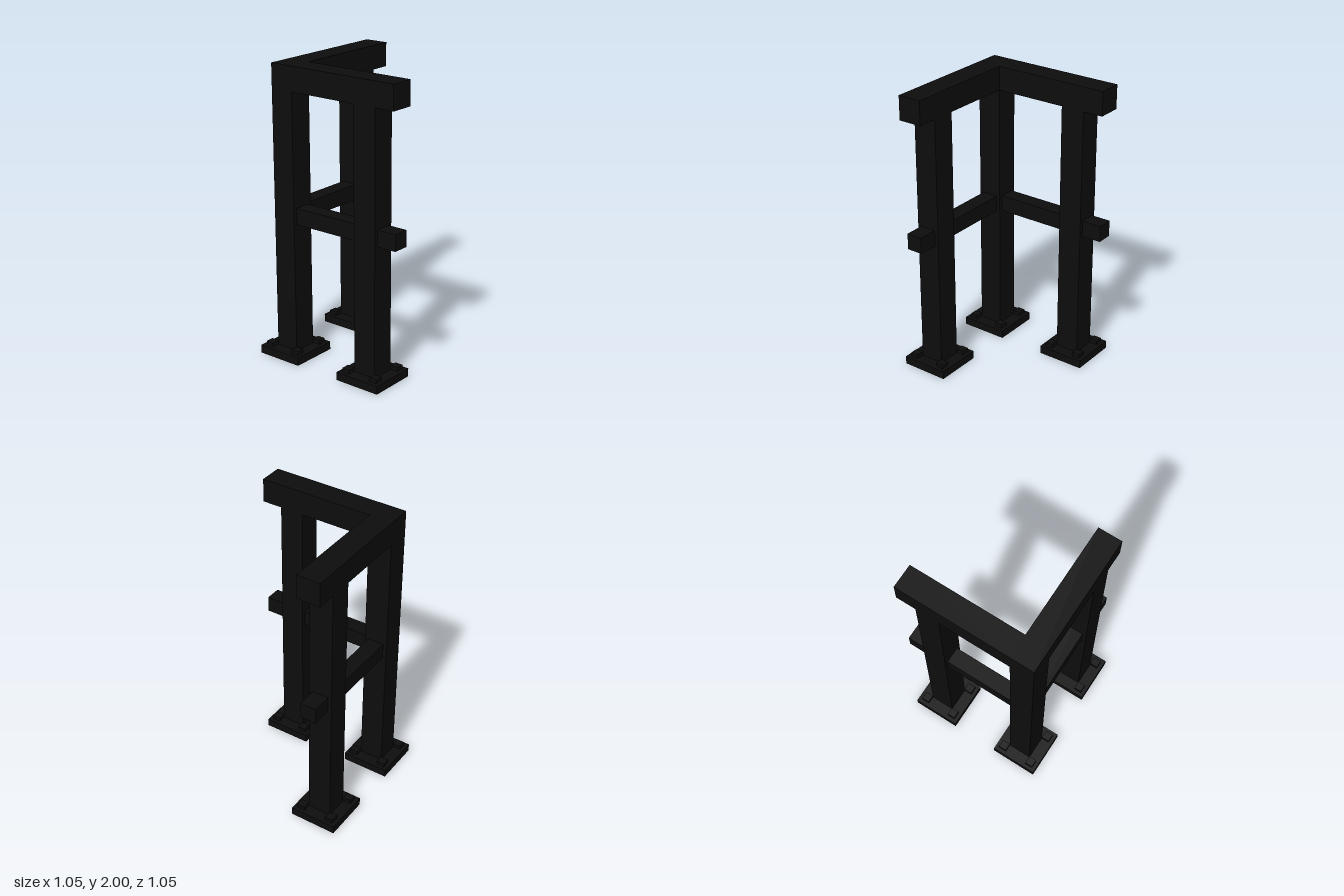
import * as THREE from 'three';

export function createModel() {
  const model = new THREE.Group();
  model.name = 'cornerFrame';
  const black = new THREE.MeshStandardMaterial({ color: 0x0d0d0d });
  black.name = 'black';

  // Box given by its minimum and maximum corners
  function box(name, [x0, y0, z0], [x1, y1, z1], parent = model) {
    const mesh = new THREE.Mesh(new THREE.BoxGeometry(x1 - x0, y1 - y0, z1 - z0), black);
    mesh.position.set((x0 + x1) / 2, (y0 + y1) / 2, (z0 + z1) / 2);
    mesh.name = name;
    parent.add(mesh);
  }

  const corner = 0.361, far = 0.304, end = 0.526;
  const half = 0.083, foot = 0.166, plateTop = 0.056;
  const beamBottom = 1.835;

  // Three posts, each on a base plate with four square bolts
  function post(name, x, z) {
    const group = new THREE.Group();
    group.name = name;
    group.position.set(x, 0, z);
    box('basePlate', [-foot, 0, -foot], [foot, plateTop, foot], group);
    box('upright', [-half, plateTop, -half], [half, beamBottom, half], group);
    for (const sx of [-1, 1]) for (const sz of [-1, 1]) {
      const bx = sx * 0.111, bz = sz * 0.111, r = 0.028;
      box('bolt', [bx - r, plateTop, bz - r], [bx + r, 0.084, bz + r], group);
    }
    model.add(group);
  }
  post('cornerPost', -corner, corner);
  post('sidePost', far, corner);
  post('backPost', -corner, -far);

  // Top beams meeting at the corner
  box('frontTopBeam', [-corner - half, beamBottom, corner - half], [end, 2, corner + half]);
  box('sideTopBeam', [-corner - half, beamBottom, -end], [-corner + half, 2, corner - half]);

  // Thinner middle rails passing through the outer posts
  const r = 0.056;
  box('frontRail', [-corner, 0.946, corner - r], [end, 1.058, corner + r]);
  box('sideRail', [-corner - r, 0.946, -end], [-corner + r, 1.058, corner - r]);

  return model;
}
